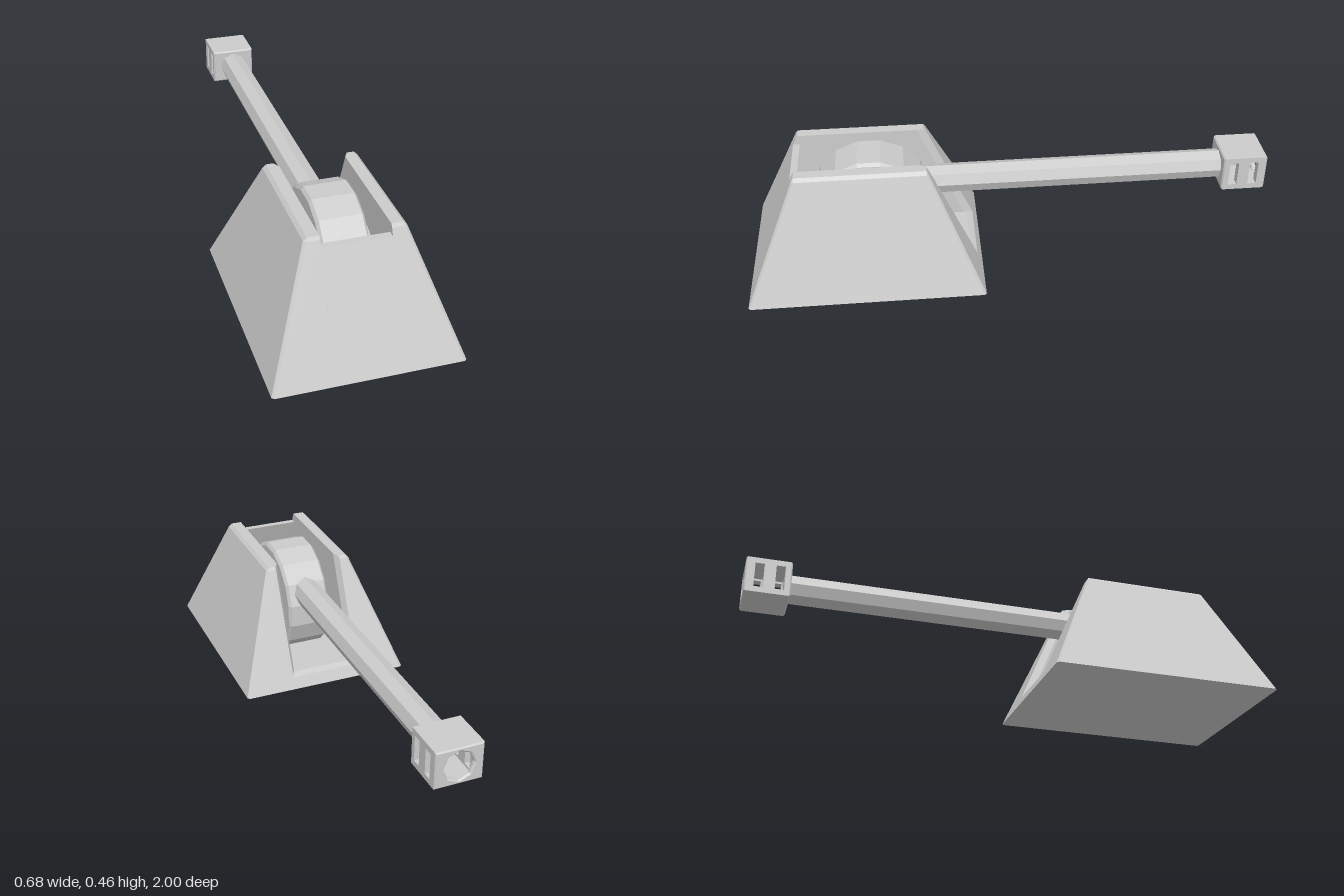
import * as THREE from 'three';
import { ConvexGeometry } from 'three/addons/geometries/ConvexGeometry.js';

const material = new THREE.MeshStandardMaterial({ color: 0xcccccc, flatShading: true });

function add(parent, name, geometry, x = 0, y = 0, z = 0) {
  const mesh = new THREE.Mesh(geometry, material);
  mesh.name = name;
  mesh.position.set(x, y, z);
  parent.add(mesh);
  return mesh;
}

const hull = (points) => new ConvexGeometry(points.map((p) => new THREE.Vector3(...p)));

// Convex prism across x from a [z, y] profile
const prism = (halfWidth, profile) =>
  hull(profile.flatMap(([z, y]) => [[-halfWidth, y, z], [halfWidth, y, z]]));

function rectangle(x0, y0, x1, y1, Kind = THREE.Shape) {
  return new Kind([[x0, y0], [x1, y0], [x1, y1], [x0, y1]].map((p) => new THREE.Vector2(...p)));
}

function octagonHole(r) {
  const points = [];
  for (let i = 0; i < 8; i++) {
    const a = (i * Math.PI) / 4;
    points.push(new THREE.Vector2(r * Math.sin(a), r * Math.cos(a)));
  }
  return new THREE.Path(points);
}

function buildBase() {
  const base = new THREE.Group();
  base.name = 'base';

  // Sloping side walls with chamfered corners and a flared rear opening
  for (const s of [-1, 1]) {
    const points = [
      [0.34, 0, 0.992], [0.332, 0, 1], [0.34, 0, 0.118], [0.332, 0, 0.11],
      [0.178, 0.448, 0.797], [0.17, 0.448, 0.805], [0.165, 0.46, 0.797],
      [0.178, 0.448, 0.313], [0.17, 0.448, 0.305], [0.165, 0.46, 0.313],
      [0.123, 0, 1], [0.123, 0.448, 0.805], [0.123, 0.46, 0.797],
      [0.138, 0, 0.11], [0.138, 0.448, 0.305], [0.138, 0.46, 0.313],
      [0.123, 0, 0.14], [0.123, 0.46, 0.34],
    ];
    add(base, s > 0 ? 'leftWall' : 'rightWall', hull(points.map(([x, y, z]) => [s * x, y, z])));
  }

  // Floor with rear sill, and the lower front wall
  add(base, 'floor', prism(0.138, [[0.11, 0], [0.13, 0.046], [0.155, 0.056], [0.97, 0.056], [0.99, 0]]));
  add(base, 'frontWall', prism(0.123, [[1, 0], [0.97, 0], [0.816, 0.423], [0.79, 0.423]]));
  return base;
}

function buildHead() {
  const head = new THREE.Group();
  head.name = 'head';
  head.position.set(0, 0.315, -0.915);
  const w = 0.0875, h = 0.07, bevel = 0.005;

  // Chamfered end plates, the outer one pierced by the bore
  const plate = (hole) => {
    const shape = rectangle(-w, -h, w, h);
    if (hole) shape.holes.push(octagonHole(0.056));
    return new THREE.ExtrudeGeometry(shape, {
      depth: 0.01, bevelSize: bevel, bevelThickness: bevel, bevelOffset: -bevel, bevelSegments: 1,
    });
  };
  add(head, 'innerPlate', plate(false), 0, 0, 0.07);
  add(head, 'outerPlate', plate(true), 0, 0, -0.08);

  // Side cheeks with two vent slots each
  const cheek = rectangle(-0.08, -h, 0.08, h);
  for (const u of [-0.043, 0.034]) {
    cheek.holes.push(rectangle(u - 0.017, -0.048, u + 0.017, 0.048, THREE.Path));
  }
  const cheekGeometry = new THREE.ExtrudeGeometry(cheek, { depth: 0.031, bevelEnabled: false });
  cheekGeometry.rotateY(Math.PI / 2);
  add(head, 'leftCheek', cheekGeometry, w - 0.031);
  add(head, 'rightCheek', cheekGeometry, -w);

  // Top and bottom covers
  for (const s of [-1, 1]) {
    add(head, s > 0 ? 'topCover' : 'bottomCover', new THREE.BoxGeometry(0.13, 0.014, 0.16), 0, s * 0.063, 0);
  }
  return head;
}

export function createModel() {
  const model = new THREE.Group();
  model.name = 'pivotArm';
  model.add(buildBase());

  // Sixteen-sided drum with chamfered rims
  const profile = [[0, -0.087], [0.217, -0.087], [0.23, -0.077], [0.23, 0.077], [0.217, 0.087], [0, 0.087]];
  const drum = new THREE.LatheGeometry(
    profile.map((p) => new THREE.Vector2(...p)), 16, Math.PI / 16, Math.PI * 2);
  drum.rotateZ(Math.PI / 2);
  add(model, 'drum', drum, 0, 0.2255, 0.524);

  // Octagonal axle between the side walls
  const axle = new THREE.CylinderGeometry(0.1, 0.1, 0.25, 8);
  axle.rotateZ(Math.PI / 2);
  add(model, 'axle', axle, 0, 0.228, 0.556);

  // Octagonal arm reaching backwards to the head
  const arm = new THREE.CylinderGeometry(0.0565, 0.0565, 1.285, 8);
  arm.rotateX(Math.PI / 2);
  add(model, 'arm', arm, 0, 0.315, -0.1975);

  model.add(buildHead());
  return model;
}
